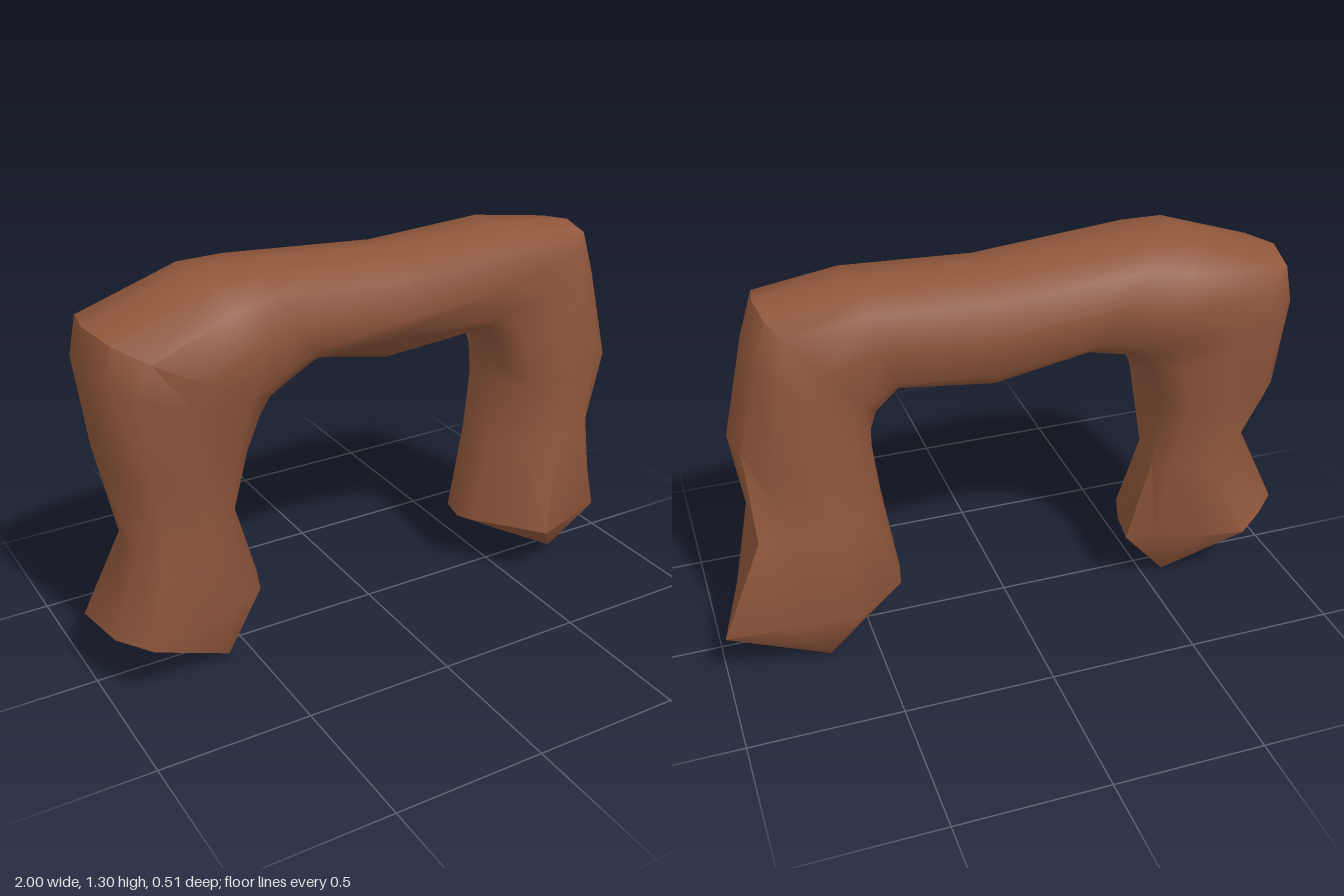
import * as THREE from 'three';
import { toCreasedNormals } from 'three/addons/utils/BufferGeometryUtils.js';

const N = 12; // points around each cross-section

// Leg outlines [x, z], ordered outer side, front, inner side, back
const atHeight = (outline, y) => outline.map(([x, z]) => [x, y(x), z]);
const leftFoot = atHeight([[-1, -.06], [-.97, .13], [-.89, .25], [-.72, .19], [-.57, .14],
  [-.46, .09], [-.42, -.02], [-.4, -.14], [-.5, -.17], [-.64, -.21], [-.8, -.24], [-.91, -.15]],
  () => .22);
const leftAnkle = atHeight([[-.89, .04], [-.875, .12], [-.82, .18], [-.66, .19], [-.57, .1],
  [-.51, .03], [-.49, -.04], [-.49, -.12], [-.53, -.18], [-.65, -.21], [-.77, -.14], [-.86, -.05]],
  () => .5);
const rightKnee = atHeight([[.895, .05], [.88, .12], [.8, .16], [.68, .19], [.56, .14],
  [.485, .06], [.455, -.02], [.47, -.1], [.54, -.17], [.66, -.2], [.79, -.16], [.87, -.07]],
  x => .72 + (x - .455) * .136);
const rightAnkle = atHeight([[.86, -.03], [.85, .09], [.79, .15], [.64, .2], [.53, .14],
  [.46, .06], [.43, -.01], [.45, -.1], [.51, -.17], [.6, -.215], [.75, -.215], [.86, -.19]],
  () => .52);
const rightFoot = atHeight([[.93, 0], [.89, .09], [.84, .17], [.57, .255], [.475, .125],
  [.41, .04], [.38, -.02], [.4, -.11], [.48, -.18], [.57, -.25], [.8, -.245], [1, -.24]],
  x => .2 + (x - .38) * .03);

// Rounded ring between an outer and an inner point. Tilt lifts the inner front
// corner; a smaller power makes the ring squarer.
function ring([ox, oy, ix, iy, front, back, tilt = 0, power = .65]) {
  const soft = v => Math.sign(v) * Math.abs(v) ** power;
  return Array.from({ length: N }, (_, j) => {
    const a = j / N * Math.PI * 2, c = soft(Math.cos(a)), s = soft(Math.sin(a));
    const u = (1 - c) / 2 - tilt * Math.max(-c, 0) * Math.max(s, 0);
    return [ox + (ix - ox) * u, oy + (iy - oy) * u, s > 0 ? s * front : -s * back];
  });
}

// Skin the rings and close each foot on a back tip and a front tip;
// frontEdges lists the outline edges that run down to the front tip
function skin(rings, startFoot, endFoot) {
  const points = rings.flat(), index = [];
  for (let i = 0; i < rings.length - 1; i++) {
    for (let j = 0; j < N; j++) {
      const a = i * N + j, b = i * N + (j + 1) % N;
      index.push(a, b, a + N, b, b + N, a + N);
    }
  }
  const close = (first, { backTip, frontTip, frontEdges }, flip) => {
    const back = points.push(backTip, frontTip) - 2;
    const tip = j => back + (frontEdges.includes(j) ? 1 : 0);
    const face = (a, b, c) => index.push(...(flip ? [b, a, c] : [a, b, c]));
    for (let j = 0; j < N; j++) {
      const k = (j + 1) % N;
      face(first + k, first + j, tip(j));
      if (tip(j) !== tip(k)) face(first + k, tip(j), tip(k));
    }
  };
  close(0, startFoot, false);
  close((rings.length - 1) * N, endFoot, true);
  const g = new THREE.BufferGeometry();
  g.setAttribute('position', new THREE.Float32BufferAttribute(points.flat(), 3));
  g.setIndex(index);
  return toCreasedNormals(g, 1);
}

export function createModel() {
  const group = new THREE.Group();
  group.name = 'rockArch';
  const rock = new THREE.MeshStandardMaterial({ color: 0x8f563b });
  rock.name = 'red brown rock';

  // Stations: outer x, y, inner x, y, front z, back z, tilt, power
  const stations = [
    [-.925, .75, -.48, .75, .22, -.24, 0, .75],
    [-.96, 1.06, -.44, .85, .225, -.23],
    [-.94, 1.19, -.40, .9, .255, -.255, 0, .8],
    [-.6, 1.305, -.36, .92, .235, -.24, 0, .8],
    [-.45, 1.305, -.23, .95, .2, -.2, .15],
    [.07, 1.27, .07, .89, .17, -.19, .38],
    [.5, 1.28, .38, .94, .17, -.2, .08, .55],
    [.78, 1.245, .44, .86, .165, -.18, 0, .6],
    [.83, 1.1, .455, .8, .175, -.19, 0, .7],
  ];
  const arch = new THREE.Mesh(skin(
    [leftFoot, leftAnkle, ...stations.map(ring), rightKnee, rightAnkle, rightFoot],
    { backTip: [-.57, .015, -.09], frontTip: [-.58, .01, .09], frontEdges: [0, 1, 2, 3, 4, 5, 6] },
    { backTip: [.66, 0, -.15], frontTip: [.75, .005, .05], frontEdges: [0, 1, 2, 11] },
  ), rock);
  arch.name = 'archBody';
  group.add(arch);
  return group;
}
